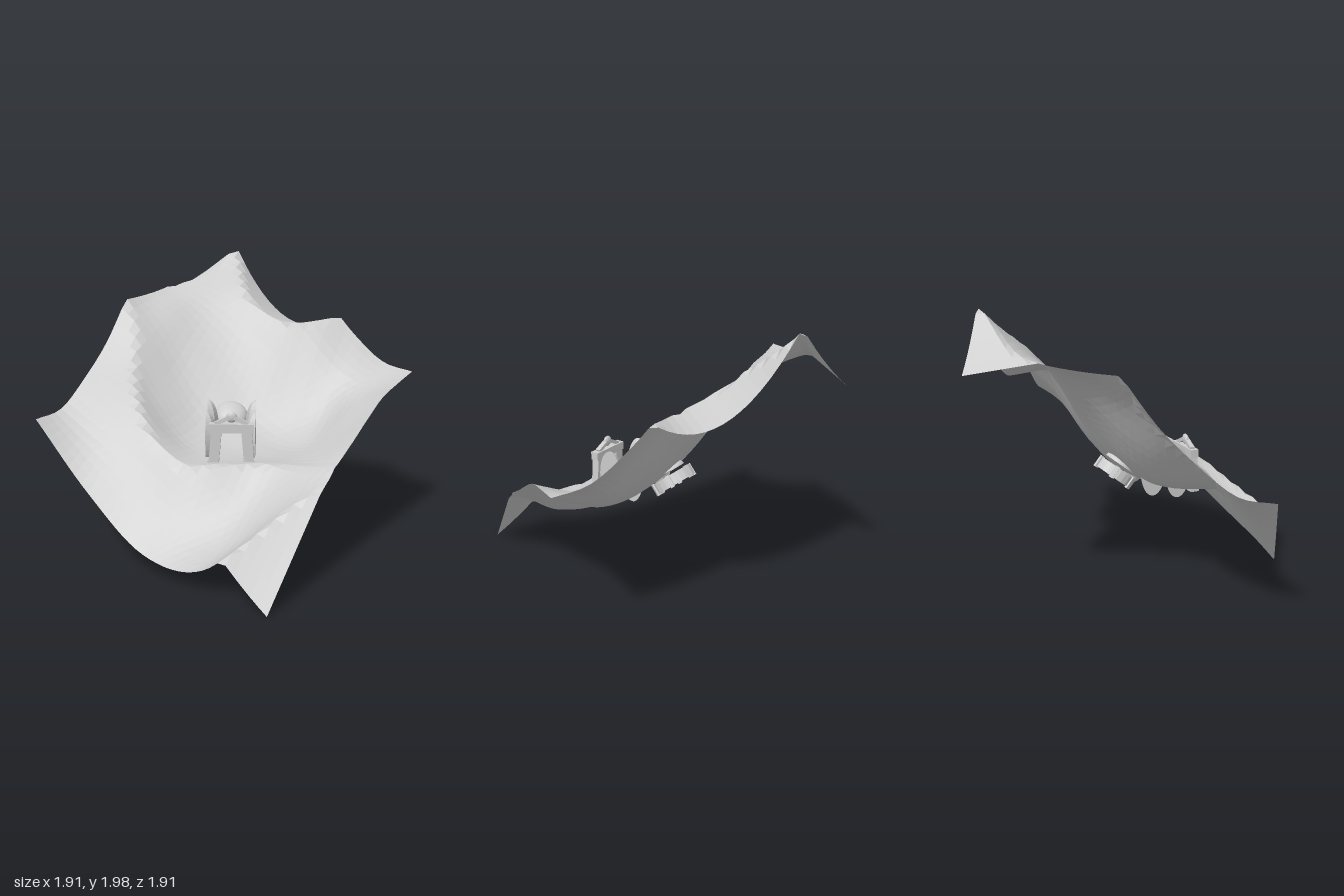
import * as THREE from 'three';

const grey = new THREE.MeshStandardMaterial({ color: 0xcccccc, flatShading: true, side: THREE.DoubleSide });
const smooth = new THREE.MeshStandardMaterial({ color: 0xcccccc, side: THREE.DoubleSide });
const SIZE = 1.906;
const EDGE = SIZE / 2;

// Height profiles across the ground, each from -x to +x, evenly spaced from back to front
const BASIN = { from: -0.95, to: 0.7125, rows: [
  [1.95, 2.03, 1.92, 1.87, 1.76, 1.62, 1.39, 1.21, 1.16],
  [1.79, 1.79, 1.74, 1.66, 1.57, 1.36, 1.15, 1.07, 1.11],
  [1.71, 1.64, 1.51, 1.34, 1.17, 0.97, 0.85, 0.95, 1.05],
  [1.67, 1.54, 1.30, 1.06, 0.85, 0.72, 0.70, 0.80, 0.93],
  [1.65, 1.40, 1.08, 0.83, 0.70, 0.66, 0.66, 0.71, 0.80],
  [1.64, 1.28, 0.98, 0.75, 0.66, 0.65, 0.67, 0.68, 0.70],
  [1.60, 1.28, 1.00, 0.78, 0.66, 0.67, 0.70, 0.72, 0.76],
  [1.60, 1.30, 1.00, 0.80, 0.68, 0.68, 0.72, 0.75, 0.80],
] };
const FRONT_SLOPE = { from: 0, to: 0.953, rows: [
  [1.67, 1.32, 1.25, 1.00, 0.95],
  [1.35, 1.14, 1.03, 0.68, 0.66],
  [1.12, 0.95, 0.77, 0.43, 0.58],
  [0.94, 0.69, 0.42, 0.25, 0.58],
  [0.91, 0.47, 0.15, 0.165, 0.60],
] };

// Smooth curve through evenly spaced values, t from 0 to 1
function along(values, t) {
  const n = values.length - 1;
  const i = Math.min(n - 1, Math.floor(t * n));
  const f = t * n - i;
  const b = values[i], c = values[i + 1];
  const a = i > 0 ? values[i - 1] : 2 * b - c;
  const d = i < n - 1 ? values[i + 2] : 2 * c - b;
  return b + 0.5 * f * (c - a + f * (2 * a - 5 * b + 4 * c - d + f * (3 * (b - c) + d - a)));
}

function sheetHeight({ from, to, rows }, x, z) {
  const u = THREE.MathUtils.clamp(x / SIZE + 0.5, 0, 1);
  const v = THREE.MathUtils.clamp((z - from) / (to - from), 0, 1);
  return along(rows.map((row) => along(row, u)), v);
}

// The lowest of several smooth sheets, so that they meet in sharp ridges
function groundHeight(x, z) {
  const right = EDGE - x, front = EDGE - z, left = EDGE + x, back = EDGE + z;
  const heights = [
    sheetHeight(BASIN, x, z),
    0.7 * right + 0.4 * right * right + 0.98 * front, // front corner
    1.43 + 1.28 * (x - 0.06) ** 2 + 0.2 * back, // back hollow
    1.62 + 0.85 * left + 0.9 * left * left + 0.19 * back, // back corner
  ];
  if (z >= 0) heights.push(sheetHeight(FRONT_SLOPE, x, z));
  return Math.max(0, Math.min(...heights));
}

function add(parent, name, geometry, x, y, z, material = grey) {
  const mesh = new THREE.Mesh(geometry, material);
  mesh.name = name;
  mesh.position.set(x, y, z);
  parent.add(mesh);
  return mesh;
}

function createGround() {
  const geometry = new THREE.PlaneGeometry(SIZE, SIZE, 32, 32).rotateX(-Math.PI / 2);
  const p = geometry.attributes.position;
  for (let i = 0; i < p.count; i++) p.setY(i, groundHeight(p.getX(i), p.getZ(i)));
  geometry.computeVertexNormals();
  const ground = new THREE.Mesh(geometry, grey);
  ground.name = 'ground';
  return ground;
}

// Gateway: two leaning posts, a lintel, a low gable and a flattened ball
function createGate() {
  const gate = new THREE.Group();
  gate.name = 'gate';
  for (const side of [-1, 1]) {
    const post = add(gate, 'gatePost', new THREE.BoxGeometry(0.07, 0.28, 0.055), side * 0.112, 0.74, 0);
    post.rotation.z = side * 0.08;
    add(gate, 'postFoot', new THREE.BoxGeometry(0.075, 0.06, 0.065), side * 0.122, 0.635, 0);
    const rafter = add(gate, 'gableBeam', new THREE.BoxGeometry(0.11, 0.025, 0.035), side * 0.06, 0.937, 0);
    rafter.rotation.z = -side * 0.45;
  }
  add(gate, 'lintel', new THREE.BoxGeometry(0.3, 0.06, 0.06), 0, 0.885, 0);
  const ball = add(gate, 'gateBall', new THREE.SphereGeometry(0.038, 16, 12), 0, 0.96, 0, smooth);
  ball.scale.z = 0.5;
  return gate;
}

// Upright leaf-shaped stone, flat on its outer side and faceted toward -x
function createStone() {
  const shape = new THREE.SphereGeometry(1, 4, 16, 0, Math.PI);
  shape.rotateY(-Math.PI / 2);
  shape.scale(0.075, 0.185, 0.095);
  const stone = new THREE.Group();
  stone.name = 'standingStone';
  add(stone, 'stoneBulge', shape, 0, 0, 0);
  const face = add(stone, 'stoneFace', new THREE.CircleGeometry(1, 32), 0, 0, 0);
  face.scale.set(0.095, 0.185, 1);
  face.rotation.y = Math.PI / 2;
  return stone;
}

// Domed cap over a ribbed ring, lying on the slope
function createDome() {
  const dome = new THREE.Group();
  dome.name = 'dome';
  const cap = add(dome, 'domeCap', new THREE.SphereGeometry(0.122, 32, 12, 0, Math.PI * 2, 0, Math.PI / 2), 0, 0, 0, smooth);
  cap.scale.y = 0.6;
  const wall = [[0.125, -0.1], [0.152, -0.1], [0.152, -0.025], [0.125, -0.025], [0.125, -0.1]];
  add(dome, 'ring', new THREE.LatheGeometry(wall.map(([r, y]) => new THREE.Vector2(r, y)), 24), 0, 0, 0);
  for (let i = 0; i < 6; i++) {
    const a = (i / 6) * Math.PI * 2;
    const rib = add(dome, 'ringRib', new THREE.BoxGeometry(0.03, 0.09, 0.02), Math.sin(a) * 0.152, -0.065, Math.cos(a) * 0.152);
    rib.rotation.y = a;
  }
  return dome;
}

export function createModel() {
  const model = new THREE.Group();
  model.name = 'shrineInValley';
  model.add(createGround());

  // The shrine runs diagonally across the valley floor
  const shrine = new THREE.Group();
  shrine.name = 'shrine';
  shrine.position.set(0.0725, 0, 0.08);
  shrine.rotation.y = 0.576;
  model.add(shrine);

  const gate = createGate();
  gate.position.set(0.012, 0, 0.248);
  shrine.add(gate);

  const dome = createDome();
  dome.position.set(-0.018, 0.84, -0.283);
  dome.rotation.x = 0.68;
  shrine.add(dome);

  // Two pairs of stones with their faceted sides toward the aisle
  for (const side of [-1, 1]) {
    for (const [z, y] of [[-0.096, 0.815], [0.096, 0.775]]) {
      const stone = createStone();
      stone.position.set(side * 0.17, y, z);
      stone.rotation.y = side > 0 ? 0 : Math.PI;
      shrine.add(stone);
    }
  }
  return model;
}
